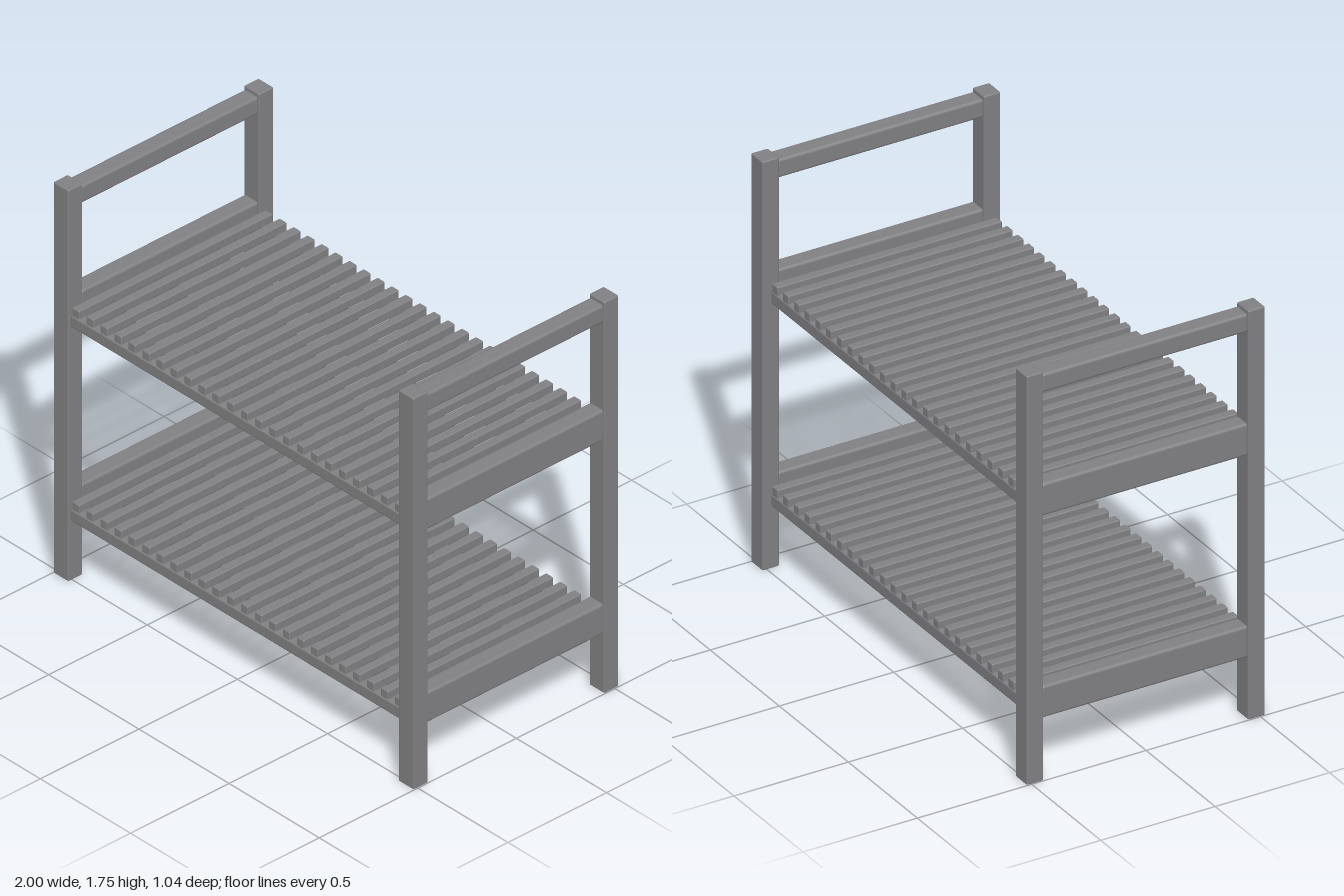
import * as THREE from 'three';
import { RoundedBoxGeometry } from 'three/addons/geometries/RoundedBoxGeometry.js';

export function createModel() {
  const model = new THREE.Group();
  model.name = 'slattedShelfRack';
  const grey = new THREE.MeshStandardMaterial({ color: 0x808082 });
  grey.name = 'grey';

  // Softly rounded bar given by its minimum and maximum corners
  function bar(name, parent, [x0, y0, z0], [x1, y1, z1], radius) {
    const geometry = new RoundedBoxGeometry(x1 - x0, y1 - y0, z1 - z0, 2, radius);
    const mesh = new THREE.Mesh(geometry, grey);
    mesh.name = name;
    mesh.position.set((x0 + x1) / 2, (y0 + y1) / 2, (z0 + z1) / 2);
    parent.add(mesh);
  }

  // Side frames: two posts, two deep shelf rails and a handrail each
  for (const side of [-1, 1]) {
    const frame = new THREE.Group();
    frame.name = side > 0 ? 'leftFrame' : 'rightFrame';
    model.add(frame);
    const cx = side * 0.957;
    bar('frontPost', frame, [cx - 0.042, 0, 0.447], [cx + 0.042, 1.755, 0.521], 0.006);
    bar('backPost', frame, [cx - 0.042, 0, -0.521], [cx + 0.042, 1.755, -0.447], 0.006);
    const rails = [['lowerSideRail', 0.265, 0.402], ['upperSideRail', 1.132, 1.271], ['handrail', 1.662, 1.742]];
    for (const [name, y0, y1] of rails) {
      bar(name, frame, [cx - 0.038, y0, -0.452], [cx + 0.038, y1, 0.452], 0.012);
    }
  }

  // Shelves: two long rails carrying a row of cross slats
  const slats = 24, pitch = 0.0778, halfWidth = 0.02;
  [['lowerShelf', 0.265], ['upperShelf', 1.135]].forEach(([name, y]) => {
    const shelf = new THREE.Group();
    shelf.name = name;
    model.add(shelf);
    bar('frontRail', shelf, [-0.92, y, 0.437], [0.92, y + 0.054, 0.507], 0.008);
    bar('backRail', shelf, [-0.92, y, -0.482], [0.92, y + 0.054, -0.42], 0.008);
    for (let i = 0; i < slats; i++) {
      const x = (i - (slats - 1) / 2) * pitch;
      bar('slat', shelf, [x - halfWidth, y + 0.05, -0.48], [x + halfWidth, y + 0.089, 0.503], 0.005);
    }
  });

  return model;
}
